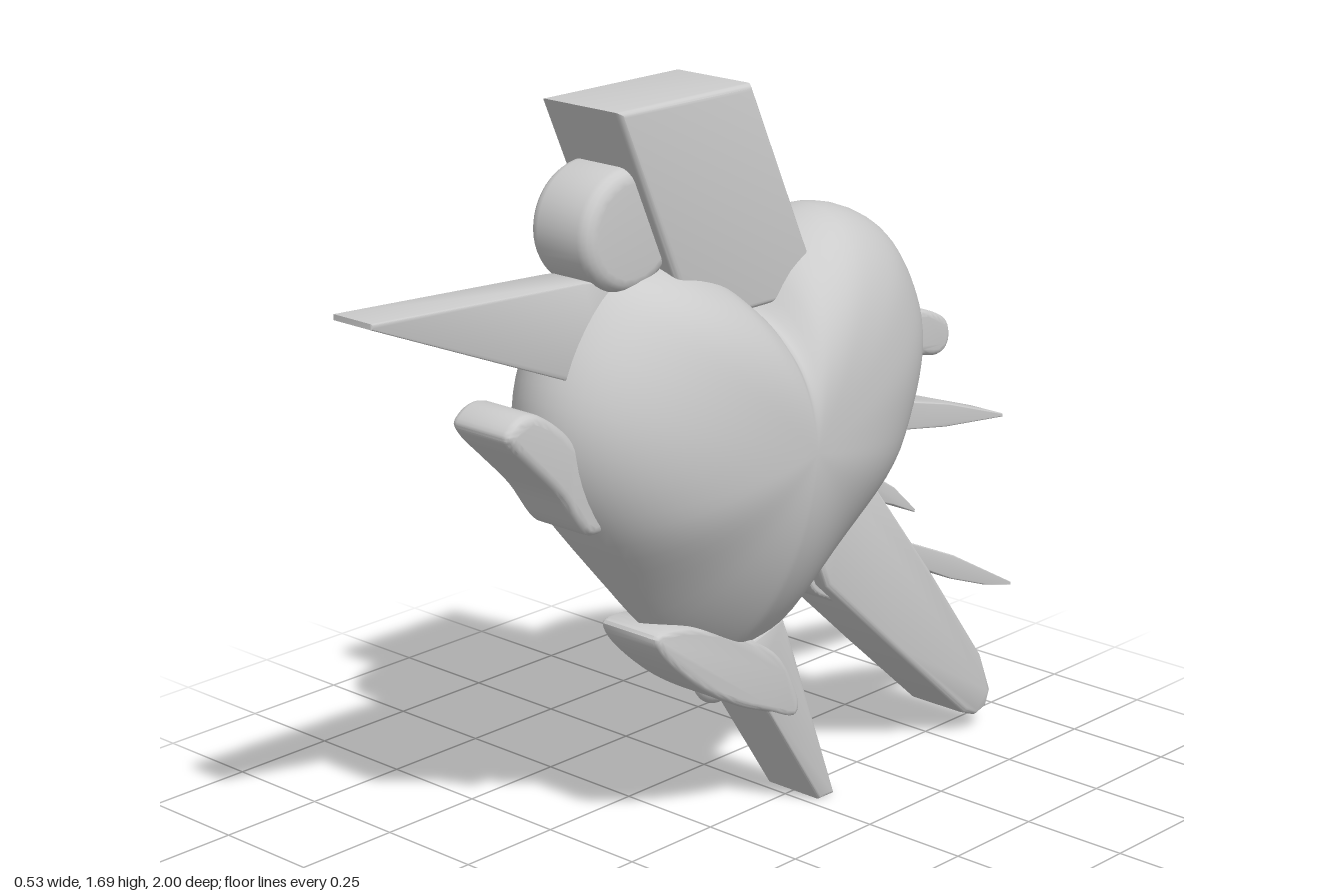
import * as THREE from 'three';
import { toCreasedNormals, mergeVertices } from 'three/addons/utils/BufferGeometryUtils.js';

const material = new THREE.MeshStandardMaterial({ color: 0xcccccc });

// Closed smooth outline through [z, y] points
function smoothLoop(points, count, tension = 0.5) {
  const curve = new THREE.CatmullRomCurve3(
    points.map(([z, y]) => new THREE.Vector3(z, y, 0)), true, 'catmullrom', tension);
  return curve.getPoints(count).slice(0, count).map(p => new THREE.Vector2(p.x, p.y));
}

// Side profile given as [z, y], extruded across x with rounded edges
function slab(name, points, halfWidth, bevel, smooth = false) {
  const outline = smooth ? smoothLoop(points, 48) : points.map(([z, y]) => new THREE.Vector2(z, y));
  const half = halfWidth - bevel;
  const geometry = new THREE.ExtrudeGeometry(new THREE.Shape(outline), {
    depth: 2 * half, bevelEnabled: true, bevelThickness: bevel, bevelSize: bevel,
    bevelOffset: -bevel, bevelSegments: 4, steps: 1,
  });
  geometry.translate(0, 0, -half);
  geometry.rotateY(-Math.PI / 2);
  const mesh = new THREE.Mesh(toCreasedNormals(geometry, 0.6), material);
  mesh.name = name;
  return mesh;
}

// Puffed heart: rings shrink from the outline to the centre while the thickness grows
function heartBody() {
  const outline = smoothLoop([
    [-0.045, 1.205], [-0.15, 1.31], [-0.315, 1.367], [-0.475, 1.31], [-0.57, 1.19], [-0.605, 1.055],
    [-0.565, 0.895], [-0.475, 0.72], [-0.34, 0.56], [-0.18, 0.425], [-0.045, 0.395], [0.035, 0.41],
    [0.195, 0.52], [0.355, 0.71], [0.48, 0.895], [0.517, 1.055], [0.475, 1.2], [0.37, 1.32],
    [0.25, 1.35], [0.105, 1.313], [0.01, 1.25],
  ], 96);
  const n = outline.length, rings = 40, centre = new THREE.Vector2(-0.045, 0.92);
  const positions = [], index = [];
  for (let r = 0; r <= rings; r++) {
    const a = Math.PI * r / rings;
    const s = Math.sin(a), side = r * 2 <= rings ? 1 : -1;
    for (const p of outline) {
      const d = p.clone().sub(centre);
      // Thinner towards the lower point, fuller at the sides
      const low = THREE.MathUtils.smoothstep(-d.y / d.length(), 0.2, 1);
      const puff = Math.pow(Math.max(0, 1 - Math.pow(s, 2.6 - 0.6 * low)), 0.5 + 0.3 * low);
      positions.push(side * 0.265 * puff, centre.y + d.y * s, centre.x + d.x * s);
    }
  }
  for (let r = 0; r < rings; r++) {
    for (let i = 0; i < n; i++) {
      const a = r * n + i, b = r * n + (i + 1) % n;
      index.push(a, b, a + n, b, b + n, a + n);
    }
  }
  let geometry = new THREE.BufferGeometry();
  geometry.setAttribute('position', new THREE.Float32BufferAttribute(positions, 3));
  geometry.setIndex(index);
  geometry = mergeVertices(geometry, 1e-5);
  // Make the faces point outwards whichever way the outline runs
  const pos = geometry.attributes.position, idx = geometry.index;
  const a = new THREE.Vector3(), b = new THREE.Vector3(), c = new THREE.Vector3();
  let volume = 0;
  for (let i = 0; i < idx.count; i += 3) {
    a.fromBufferAttribute(pos, idx.getX(i));
    b.fromBufferAttribute(pos, idx.getX(i + 1));
    c.fromBufferAttribute(pos, idx.getX(i + 2));
    volume += a.dot(b.cross(c));
  }
  if (volume < 0) geometry.setIndex(Array.from(idx.array).reverse());
  geometry.computeVertexNormals();
  const mesh = new THREE.Mesh(geometry, material);
  mesh.name = 'heartBody';
  return mesh;
}

export function createModel() {
  const group = new THREE.Group();
  group.name = 'heartBird';
  group.add(heartBody());

  // Head parts
  group.add(slab('hat', [[0.383, 1.69], [-0.008, 1.69], [-0.23, 1.21], [0.17, 1.21]], 0.112, 0.015));
  const eye = [];
  for (let i = 0; i < 16; i++) {
    const a = i * Math.PI / 8;
    eye.push([0.315 + 0.137 * Math.cos(a), 1.435 + 0.13 * Math.sin(a)]);
  }
  group.add(slab('eye', eye, 0.085, 0.03, true));
  group.add(slab('beak', [[1.0, 1.378], [1.0, 1.366], [0.49, 1.155], [0.36, 1.11], [0.34, 1.33], [0.43, 1.345]],
    0.055, 0.004));
  group.add(slab('wattle', [[0.675, 1.085], [0.63, 1.115], [0.57, 1.1], [0.48, 1.02], [0.38, 0.85],
    [0.45, 0.82], [0.53, 0.92], [0.61, 1.0], [0.66, 1.05]], 0.085, 0.02, true));

  // Leg parts under the heart
  group.add(slab('thigh', [[0.25, 0.545], [0.23, 0.49], [0.12, 0.39], [0, 0.315], [-0.1, 0.27], [-0.185, 0.235],
    [-0.2, 0.28], [-0.13, 0.4], [0, 0.48], [0.15, 0.54]], 0.085, 0.015, true));
  group.add(slab('leg', [[-0.05, 0.45], [-0.05, 0.35], [-0.115, 0.25], [-0.278, 0.005], [-0.33, 0.005],
    [-0.175, 0.42], [-0.15, 0.48]], 0.08, 0.01));
  const knob = new THREE.Mesh(new THREE.SphereGeometry(1, 24, 16), material);
  knob.name = 'kneeKnob';
  knob.scale.set(0.04, 0.05, 0.05);
  knob.position.set(0, 0.35, -0.01);
  group.add(knob);

  // Back knob, tail and feathers
  group.add(slab('backKnob', [[-0.5, 1.07], [-0.6, 1.08], [-0.66, 1.065], [-0.71, 1.035], [-0.717, 0.985],
    [-0.68, 0.96], [-0.6, 0.975], [-0.5, 0.98]], 0.075, 0.015, true));
  group.add(slab('tail', [[-0.25, 0.6], [-0.29, 0.51], [-0.55, 0.275], [-0.79, 0.062], [-0.835, 0.043],
    [-0.875, 0.055], [-0.89, 0.095], [-0.85, 0.195], [-0.66, 0.45], [-0.45, 0.715], [-0.35, 0.75]], 0.085, 0.015));
  group.add(slab('tailTuft', [[-0.25, 0.56], [-0.285, 0.495], [-0.34, 0.46], [-0.375, 0.445], [-0.37, 0.5],
    [-0.32, 0.56]], 0.05, 0.008, true));
  const feathers = {
    upperFeather: [[-0.45, 0.9], [-0.545, 0.878], [-0.75, 0.825], [-0.95, 0.756], [-0.95, 0.748],
      [-0.74, 0.772], [-0.53, 0.81], [-0.45, 0.84]],
    middleFeather: [[-0.4, 0.75], [-0.475, 0.725], [-0.56, 0.67], [-0.635, 0.6], [-0.633, 0.593],
      [-0.555, 0.63], [-0.45, 0.67]],
    lowerFeather: [[-0.45, 0.6], [-0.545, 0.556], [-0.78, 0.45], [-1.0, 0.326], [-1.0, 0.318],
      [-0.9, 0.345], [-0.77, 0.395], [-0.58, 0.49], [-0.47, 0.56]],
  };
  for (const [name, points] of Object.entries(feathers)) group.add(slab(name, points, 0.05, 0.003));

  return group;
}
